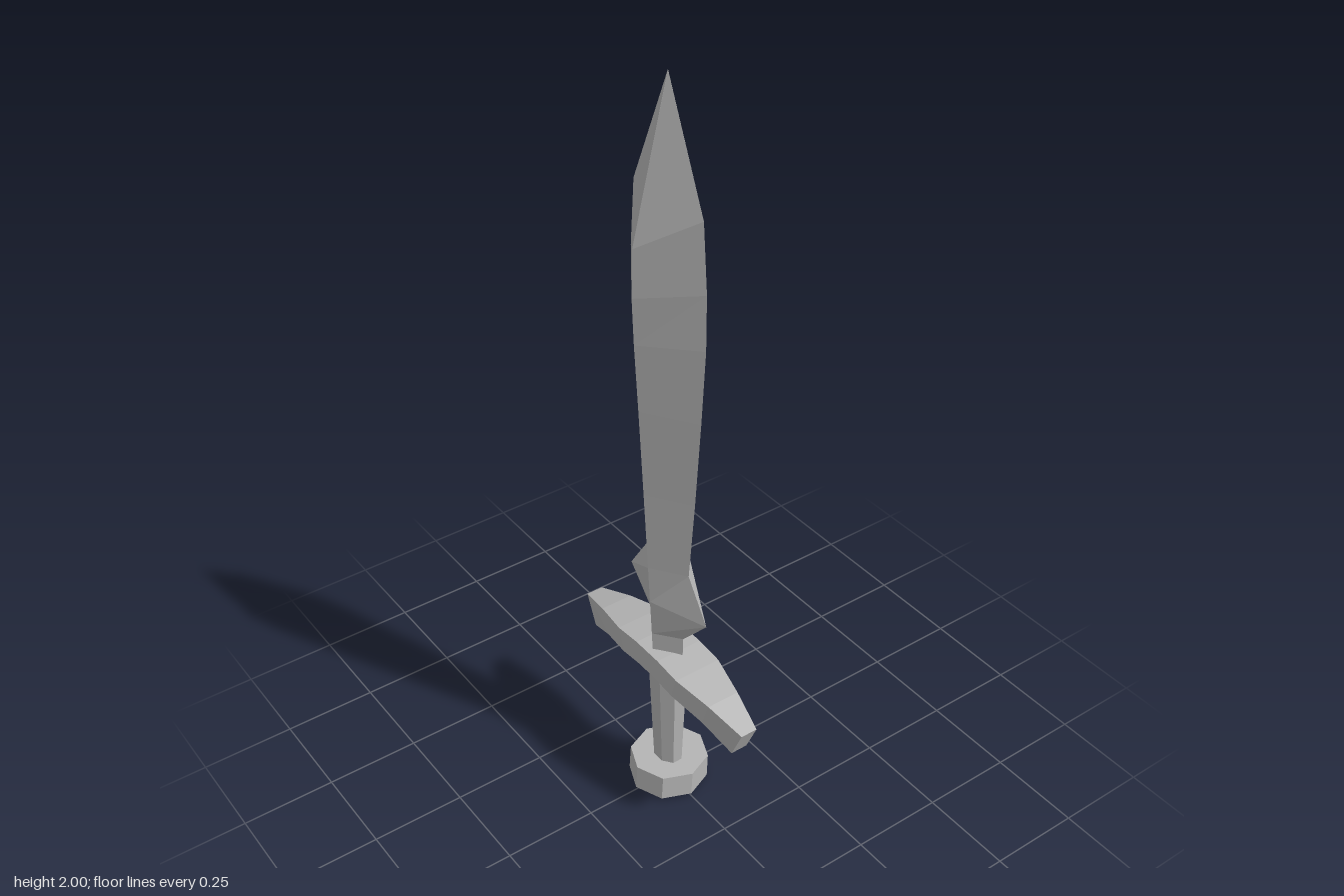
import * as THREE from 'three';

// Skins a list of rings (counter-clockwise seen from the last ring) and caps both ends.
function loft(rings) {
  const pos = [];
  const tri = (a, b, c) => pos.push(...a, ...b, ...c);
  const n = rings[0].length;
  for (let r = 0; r < rings.length - 1; r++) {
    const a = rings[r], b = rings[r + 1];
    for (let i = 0; i < n; i++) {
      const j = (i + 1) % n;
      tri(a[i], a[j], b[j]);
      tri(a[i], b[j], b[i]);
    }
  }
  const first = rings[0], last = rings[rings.length - 1];
  for (let i = 1; i < n - 1; i++) {
    tri(first[0], first[i + 1], first[i]);
    tri(last[0], last[i], last[i + 1]);
  }
  const geo = new THREE.BufferGeometry();
  geo.setAttribute('position', new THREE.Float32BufferAttribute(pos, 3));
  geo.computeVertexNormals();
  return geo;
}

export function createModel() {
  const group = new THREE.Group();
  const steel = new THREE.MeshStandardMaterial({ color: 0xb4b4b4, flatShading: true });
  steel.name = 'grey steel';
  const add = (name, geo) => {
    const mesh = new THREE.Mesh(geo, steel);
    mesh.name = name;
    group.add(mesh);
    return mesh;
  };

  // Leaf blade: [edge half width, edge height, ridge half depth, ridge height]
  const blade = [
    [0.062, 0.44, 0.047, 0.44],
    [0.064, 0.52, 0.05, 0.52],
    [0.158, 0.625, 0.055, 0.625],
    [0.085, 0.735, 0.06, 0.735],
    [0.107, 0.96, 0.071, 0.96],
    [0.127, 1.2, 0.083, 1.2],
    [0.141, 1.4, 0.093, 1.38],
    [0.141, 1.54, 0.097, 1.5],
    [0.127, 1.71, 0.094, 1.62],
    [0.0005, 2, 0.0005, 2],
  ];
  add('blade', loft(blade.map(([x, ye, z, yr]) =>
    [[x, ye, 0], [0, yr, -z], [-x, ye, 0], [0, yr, z]])));

  // Curved crossguard: [top x, top y, bottom x, bottom y, half depth], mirrored
  const half = [
    [0.045, 0.468, 0.035, 0.402, 0.066],
    [0.124, 0.46, 0.105, 0.395, 0.066],
    [0.23, 0.441, 0.205, 0.37, 0.045],
    [0.335, 0.41, 0.298, 0.326, 0.023],
  ];
  const mirrored = half.map(([tx, ty, bx, by, d]) => [-tx, ty, -bx, by, d]).reverse();
  add('crossguard', loft([...mirrored, ...half].map(([tx, ty, bx, by, d]) =>
    [[tx, ty, d], [bx, by, d], [bx, by, -d], [tx, ty, -d]])));

  // Tapered eight-sided grip, running through the pommel
  const grip = new THREE.CylinderGeometry(0.062, 0.042, 0.42, 8);
  grip.rotateY(Math.PI / 8);
  grip.scale(1, 1, 0.78);
  add('grip', grip).position.y = 0.21;

  // Eight-sided pommel, its top leaning slightly back
  const pommel = new THREE.CylinderGeometry(0.104, 0.105, 0.07, 8);
  const p = pommel.attributes.position;
  for (let i = 0; i < p.count; i++) if (p.getY(i) > 0) p.setZ(i, p.getZ(i) - 0.004);
  add('pommel', pommel).position.y = 0.043;

  return group;
}
